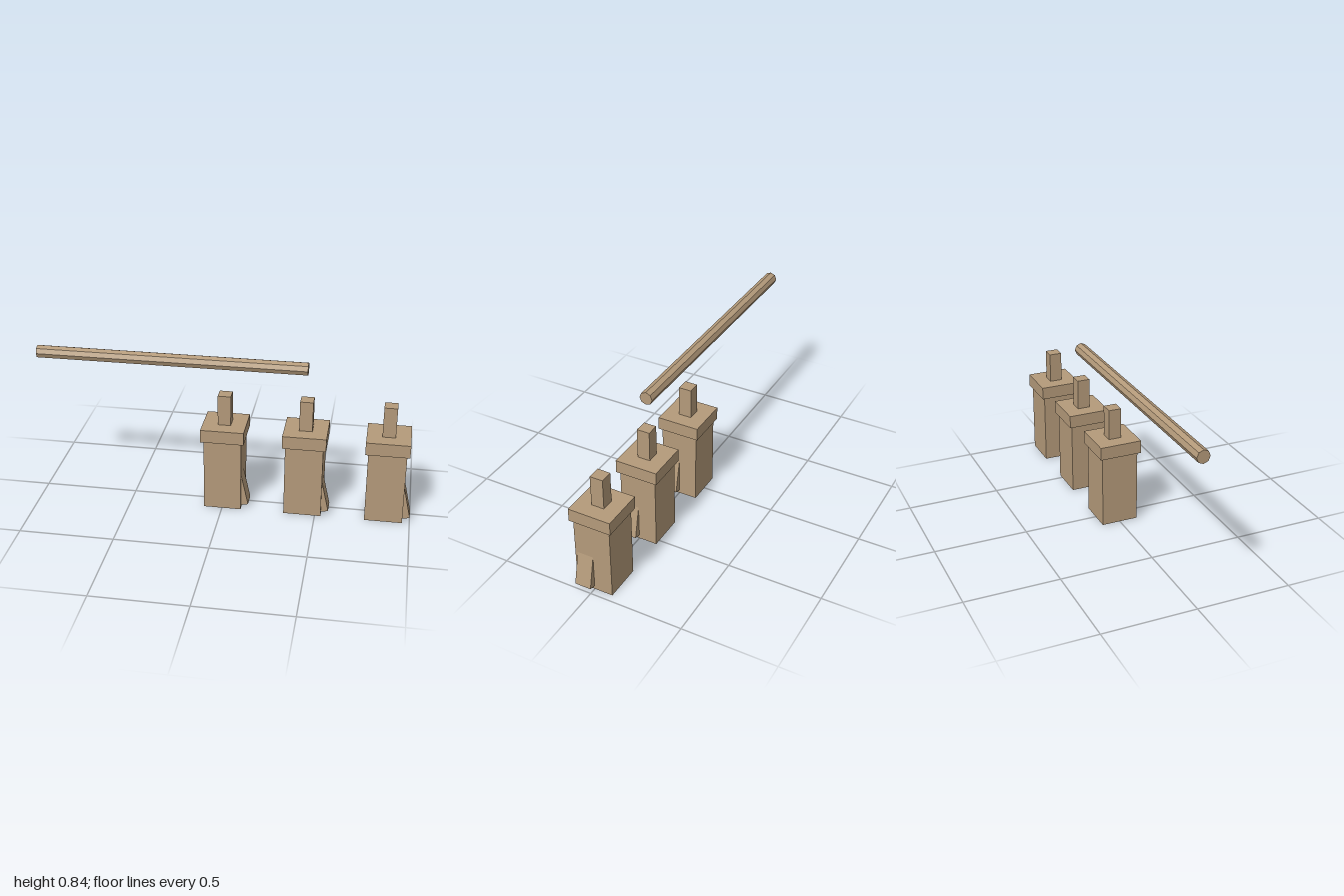
import * as THREE from 'three';

const wood = new THREE.MeshStandardMaterial({ color: 0xb49a7a, flatShading: true });

function part(name, geometry, x, y, z) {
  const mesh = new THREE.Mesh(geometry, wood);
  mesh.name = name;
  mesh.position.set(x, y, z);
  return mesh;
}

// Box standing between two heights
function block(name, width, bottom, top) {
  return part(name, new THREE.BoxGeometry(width, top - bottom, width), 0, (bottom + top) / 2, 0);
}

function createPost() {
  const post = new THREE.Group();
  post.name = 'post';
  post.add(
    block('body', 0.199, 0, 0.397),
    block('cap', 0.229, 0.397, 0.467),
    block('peg', 0.069, 0.467, 0.633)
  );

  // Tilted flap, pivoting on its lower outer edge and sinking into the body
  const thickness = 0.045, length = 0.19, width = 0.087;
  const geometry = new THREE.BoxGeometry(thickness, length, width);
  geometry.translate(-thickness / 2, length / 2, width / 2);
  const flap = part('flap', geometry, 0.138, 0.028, 0);
  flap.rotation.z = THREE.MathUtils.degToRad(12.5);
  post.add(flap);
  return post;
}

export function createModel() {
  const model = new THREE.Group();
  model.name = 'postsAndRod';

  // Row of three identical posts
  for (let i = 0; i < 3; i++) {
    const post = createPost();
    post.position.x = 0.002 + i * 0.43;
    model.add(post);
  }

  // Eight-sided rod above the posts
  const rod = part('rod', new THREE.CylinderGeometry(0.035, 0.035, 1.432, 8), -0.284, 0.805, 0);
  rod.rotation.z = Math.PI / 2;
  model.add(rod);
  return model;
}
